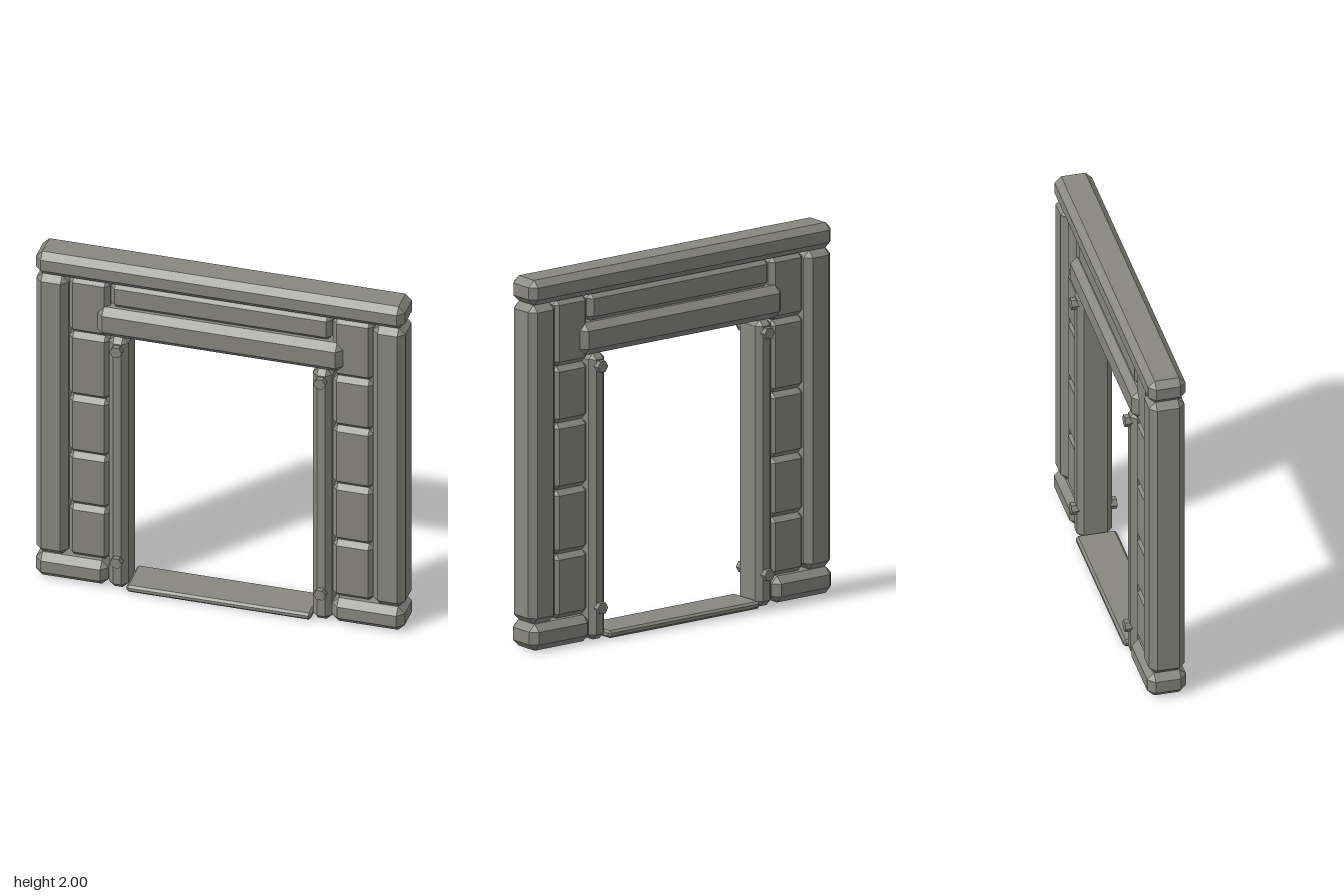
import * as THREE from 'three';
import { ConvexGeometry } from 'three/addons/geometries/ConvexGeometry.js';

export function createModel() {
  const group = new THREE.Group();
  group.name = 'doorway';
  const stone = new THREE.MeshStandardMaterial({ color: 0x888880 });
  stone.name = 'grey stone';

  // Box with all edges and corners cut off, given by its x and y range and half depth
  function block(name, x0, x1, y0, y1, hz, c) {
    const hx = (x1 - x0) / 2, hy = (y1 - y0) / 2;
    const pts = [];
    for (const sx of [-1, 1]) for (const sy of [-1, 1]) for (const sz of [-1, 1]) {
      pts.push(
        new THREE.Vector3(sx * hx, sy * (hy - c), sz * (hz - c)),
        new THREE.Vector3(sx * (hx - c), sy * hy, sz * (hz - c)),
        new THREE.Vector3(sx * (hx - c), sy * (hy - c), sz * hz));
    }
    const mesh = new THREE.Mesh(new ConvexGeometry(pts), stone);
    mesh.name = name;
    mesh.position.set((x0 + x1) / 2, (y0 + y1) / 2, 0);
    group.add(mesh);
  }

  // Same block placed on the left (s = 1) or right (s = -1)
  const sideBlock = (s, name, a, b, y0, y1, hz, c) =>
    block(name, Math.min(s * a, s * b), Math.max(s * a, s * b), y0, y1, hz, c);

  // Horizontal beams and threshold
  block('topBeam', -1, 1, 1.865, 2, 0.1, 0.035);
  block('upperPanel', -0.6, 0.6, 1.715, 1.865, 0.07, 0.027);
  block('lintel', -0.67, 0.67, 1.543, 1.717, 0.103, 0.038);
  block('threshold', -0.5, 0.5, 0.005, 0.045, 0.11, 0.012);

  // Hexagonal pegs with corners pointing sideways
  const pegGeometry = new THREE.CylinderGeometry(0.033, 0.033, 0.245, 6)
    .rotateY(Math.PI / 6).rotateX(Math.PI / 2).toNonIndexed();
  pegGeometry.computeVertexNormals();

  // Heights of the joints in the wall infill
  const joints = {
    '1': [0.15, 0.495, 0.84, 1.2, 1.507, 1.865],
    '-1': [0.15, 0.465, 0.785, 1.135, 1.525, 1.865],
  };

  for (const s of [1, -1]) {
    const side = s > 0 ? 'left' : 'right';
    sideBlock(s, side + 'Foot', 0.605, 1, 0.008, 0.15, 0.105, 0.037);
    sideBlock(s, side + 'OuterPost', 0.825, 1, 0.15, 1.865, 0.095, 0.035);
    sideBlock(s, side + 'Jamb', 0.5, 0.605, 0.005, 1.545, 0.094, 0.03);
    const ys = joints[s];
    for (let i = 0; i < 5; i++) {
      sideBlock(s, side + 'WallBlock', 0.603, 0.827, ys[i], ys[i + 1], 0.07, 0.027);
    }
    for (const y of [0.18, 1.48]) {
      const peg = new THREE.Mesh(pegGeometry, stone);
      peg.name = side + 'Peg';
      peg.position.set(s * 0.552, y, 0);
      group.add(peg);
    }
  }
  return group;
}
